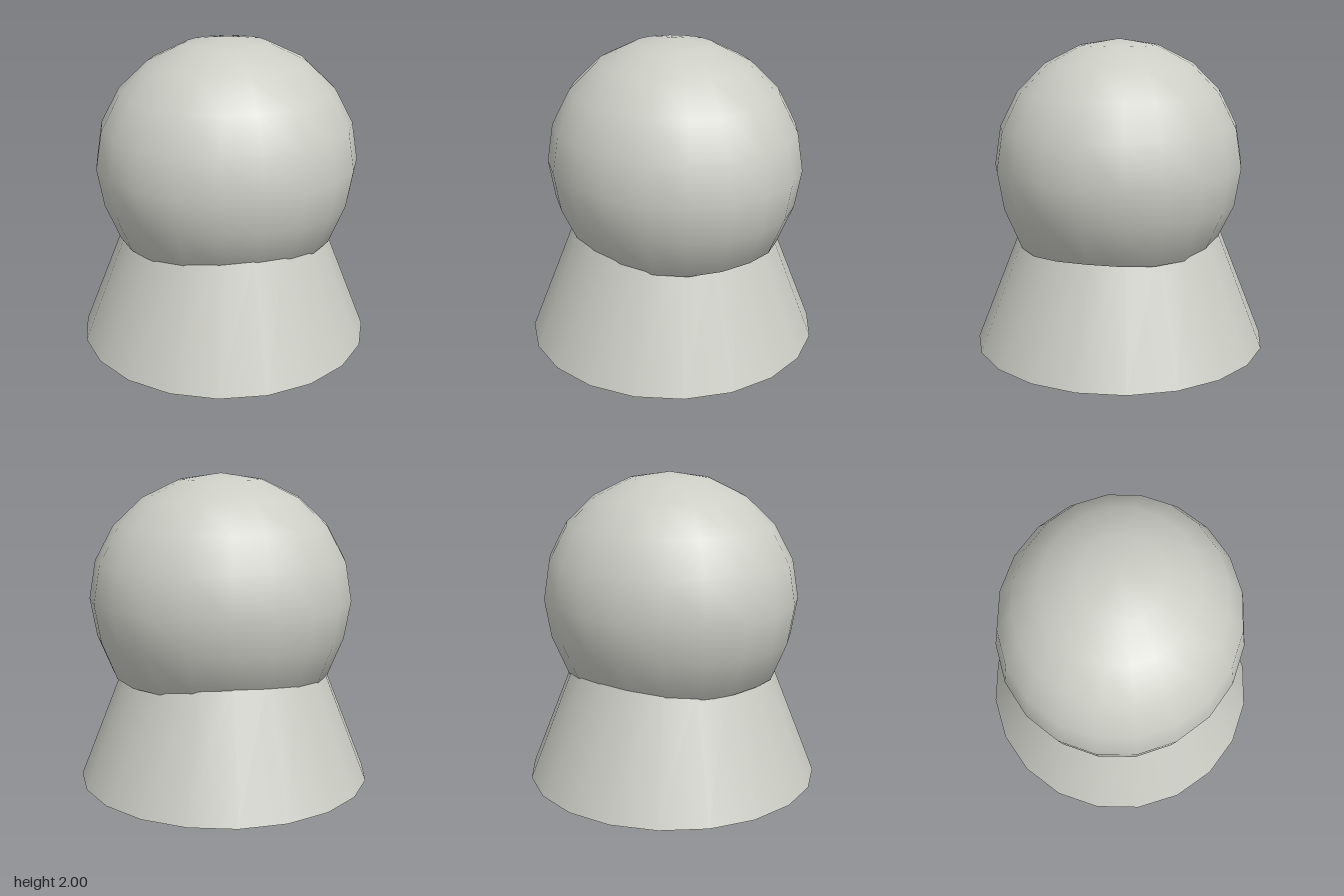
import * as THREE from 'three';

const SIDES = 20;

export function createModel() {
  const model = new THREE.Group();
  const stone = new THREE.MeshStandardMaterial({ color: 0xcccdc5, side: THREE.DoubleSide });
  stone.name = 'pale warm grey';

  // Flared pedestal: hollow and open at both ends
  const baseHeight = 0.775;
  const base = new THREE.Mesh(
    new THREE.CylinderGeometry(0.653, 0.96, baseHeight, SIDES, 1, true), stone);
  base.name = 'flaredBase';
  base.position.y = baseHeight / 2;
  model.add(base);

  // Ball: a hollow dome, slightly wide in x, open below the hem
  const geo = new THREE.SphereGeometry(0.8, SIDES, 7, 0, Math.PI * 2, 0, Math.PI * 0.7);
  geo.scale(1.069, 1, 1);

  // Uneven hem: the last ring flares at the sides and dips on the diagonals
  const pos = geo.attributes.position;
  for (let i = pos.count - SIDES - 1; i < pos.count; i++) {
    const angle = Math.atan2(pos.getZ(i), pos.getX(i));
    const dip = Math.sin(2 * angle) ** 2;
    pos.setX(i, pos.getX(i) * 1.035);
    pos.setY(i, -0.485 - 0.025 * dip);
  }
  const ball = new THREE.Mesh(geo, stone);
  ball.name = 'ball';
  ball.position.set(0.02, 1.2, 0);
  model.add(ball);

  return model;
}
